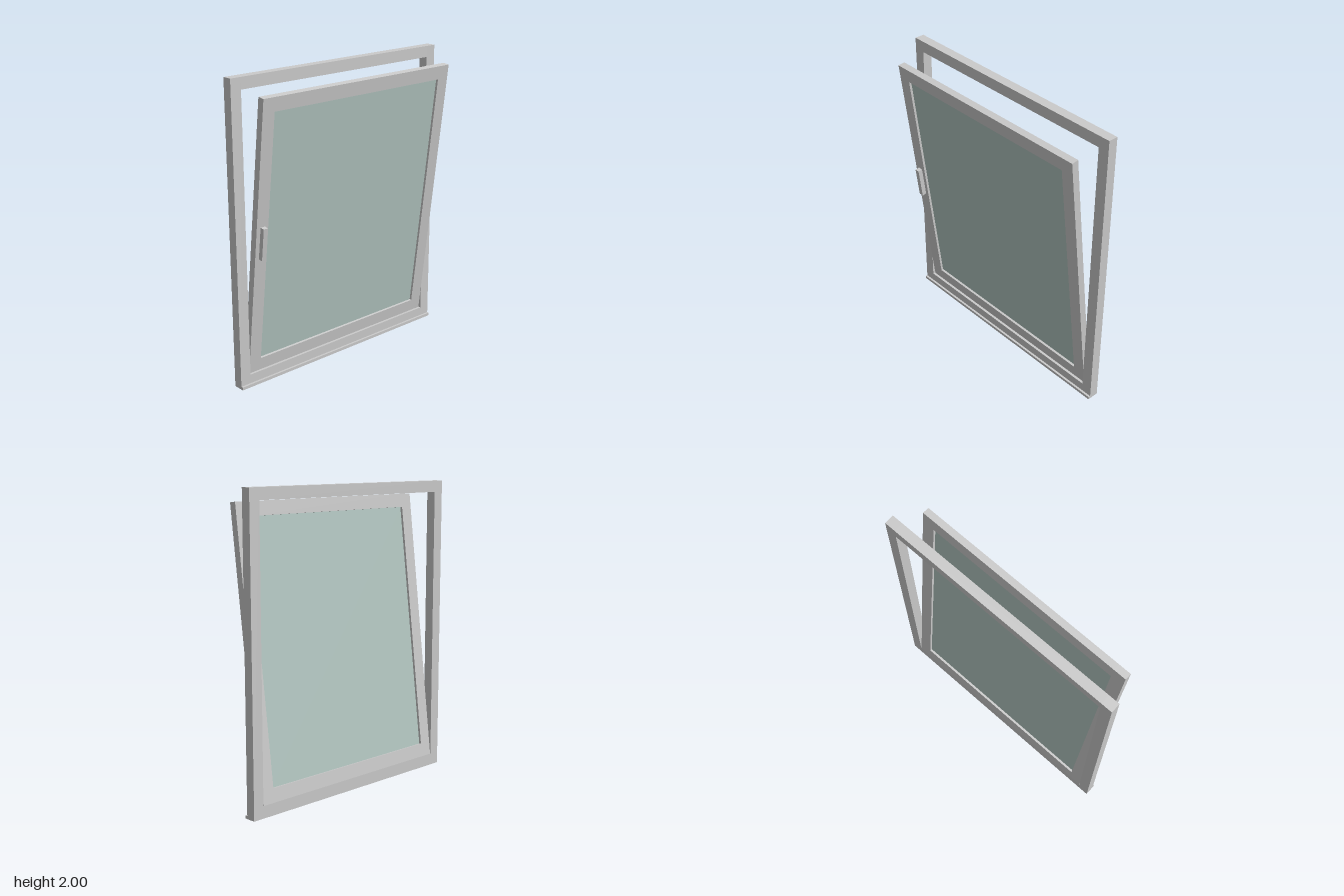
import * as THREE from 'three';

const frameMat = new THREE.MeshStandardMaterial({ color: 0xcccccc });
const glassMat = new THREE.MeshStandardMaterial({ color: 0xb4c8c3, side: THREE.DoubleSide });

// Box given by its minimum and maximum corners
function bar(parent, name, [x0, y0, z0], [x1, y1, z1], material = frameMat) {
  const mesh = new THREE.Mesh(new THREE.BoxGeometry(x1 - x0, y1 - y0, z1 - z0), material);
  mesh.position.set((x0 + x1) / 2, (y0 + y1) / 2, (z0 + z1) / 2);
  mesh.name = name;
  parent.add(mesh);
  return mesh;
}

// Rectangular frame: full-height uprights with rails fitted between them
function frame(parent, names, halfWidth, height, depth, side, bottom, top) {
  const inner = halfWidth - side;
  bar(parent, names[0] + 'Left', [inner, 0, 0], [halfWidth, height, depth]);
  bar(parent, names[0] + 'Right', [-halfWidth, 0, 0], [-inner, height, depth]);
  bar(parent, names[1], [-inner, 0, 0], [inner, bottom, depth]);
  bar(parent, names[2], [-inner, height - top, 0], [inner, height, depth]);
}

export function createModel() {
  const model = new THREE.Group();
  model.name = 'tiltWindow';

  // Fixed outer frame with a thin sill lip along the front
  const outer = new THREE.Group();
  outer.name = 'outerFrame';
  outer.position.z = -0.135;
  frame(outer, ['jamb', 'bottomFrame', 'headFrame'], 0.855, 2, 0.065, 0.075, 0.08, 0.075);
  bar(outer, 'sillLip', [-0.855, 0, 0.065], [0.855, 0.02, 0.08]);

  // Sash hinged at its bottom edge and tilted forward
  const sash = new THREE.Group();
  sash.name = 'sash';
  sash.position.set(0, 0.08, -0.135);
  sash.rotation.x = THREE.MathUtils.degToRad(7);
  frame(sash, ['stile', 'bottomRail', 'topRail'], 0.777, 1.842, 0.047, 0.088, 0.09, 0.09);
  bar(sash, 'glassPane', [-0.689, 0.09, 0.016], [0.689, 1.752, 0.031], glassMat);

  // Pull handle on the right stile
  bar(sash, 'handle', [-0.748, 0.815, 0.047], [-0.715, 1.028, 0.078]);

  model.add(outer, sash);
  return model;
}
